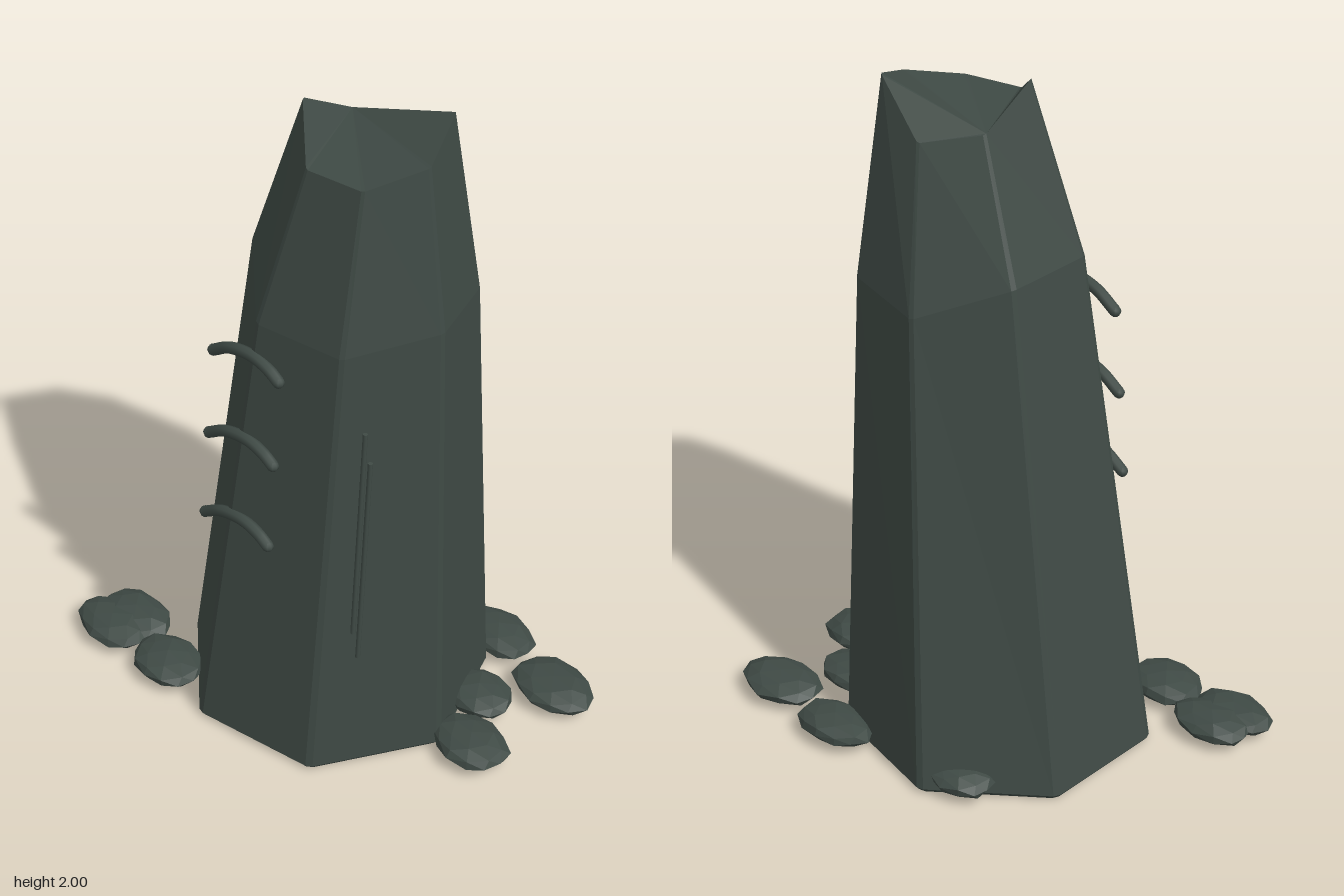
import * as THREE from 'three';

const stone = new THREE.MeshStandardMaterial({ color: 0x3f4a45 });
stone.name = 'darkStone';
const SIDES = 7;

// Seven-sided ring with softened corners: each corner becomes two close points.
function ring(cx, r, heights) {
  const corner = (i) => {
    const k = (i + SIDES) % SIDES;
    const a = (k / SIDES) * Math.PI * 2;
    return new THREE.Vector3(cx + r * Math.cos(a), heights[k], r * Math.sin(a));
  };
  const pts = [];
  for (let i = 0; i < SIDES; i++) {
    const c = corner(i);
    pts.push(c.clone().lerp(corner(i - 1), 0.03), c.clone().lerp(corner(i + 1), 0.03));
  }
  return pts;
}

// Tapering monolith with a broken, uneven top.
function buildMonolith() {
  const level = (y) => Array(SIDES).fill(y);
  const rings = [
    ring(0, 0.44, level(0)),
    ring(0, 0.453, level(0.015)),
    ring(0.105, 0.317, [1.46, 1.43, 1.43, 1.52, 1.52, 1.42, 1.43]),
    ring(0.155, 0.203, [1.94, 1.9, 1.9, 2.004, 1.9, 1.87, 2.004]),
  ];
  const n = SIDES * 2;
  const pos = [];
  const tri = (a, b, c) => [a, b, c].forEach((p) => pos.push(p.x, p.y, p.z));
  for (let r = 0; r < rings.length - 1; r++) {
    const lo = rings[r], hi = rings[r + 1];
    for (let i = 0; i < n; i++) {
      const j = (i + 1) % n;
      tri(lo[i], hi[i], hi[j]);
      tri(lo[i], hi[j], lo[j]);
    }
  }
  // Top fans out from the low back corner; the base is a flat fan.
  const top = rings[rings.length - 1], base = rings[0], s = 8;
  for (let k = 1; k < n - 1; k++) {
    const i = (s + k) % n, j = (s + k + 1) % n;
    tri(top[s], top[j], top[i]);
    tri(base[s], base[i], base[j]);
  }
  const geo = new THREE.BufferGeometry();
  geo.setAttribute('position', new THREE.Float32BufferAttribute(pos, 3));
  geo.computeVertexNormals();
  return geo;
}

// Flattened faceted pebble with slightly uneven corners.
function buildPebble(rx, ry, rz, seed) {
  const geo = new THREE.IcosahedronGeometry(1, 1);
  const p = geo.attributes.position;
  const v = new THREE.Vector3();
  for (let i = 0; i < p.count; i++) {
    v.fromBufferAttribute(p, i);
    const wobble = 1 + 0.05 * Math.sin(v.x * 5 + v.y * 3 + v.z * 7 + seed * 2.3);
    v.multiplyScalar(wobble);
    p.setXYZ(i, v.x * rx, v.y * ry, v.z * rz);
  }
  geo.computeVertexNormals();
  return geo;
}

export function createModel() {
  const group = new THREE.Group();
  const add = (name, geo, parent = group) => {
    const mesh = new THREE.Mesh(geo, stone);
    mesh.name = name;
    parent.add(mesh);
    return mesh;
  };

  add('monolith', buildMonolith());

  // Three raised arched ridges on the front
  const ridges = new THREE.Group();
  ridges.name = 'frontRidges';
  group.add(ridges);
  [[1.26, 0.318], [0.99, 0.342], [0.72, 0.365]].forEach(([y, z]) => {
    const path = new THREE.CatmullRomCurve3([
      new THREE.Vector3(-0.13, y, z + 0.005),
      new THREE.Vector3(-0.06, y + 0.045, z + 0.003),
      new THREE.Vector3(0.03, y + 0.065, z),
      new THREE.Vector3(0.09, y + 0.052, z - 0.003),
      new THREE.Vector3(0.125, y + 0.03, z - 0.006),
    ]);
    add('ridge', new THREE.TubeGeometry(path, 20, 0.017, 8), ridges);
    [0, 1].forEach((t) => {
      const end = add('ridgeEnd', new THREE.SphereGeometry(0.017, 8, 6), ridges);
      end.position.copy(path.getPoint(t));
    });
  });

  // Two slim rods along the front left face
  [
    [new THREE.Vector3(0.337, 0.5, 0.236), new THREE.Vector3(0.346, 1.19, 0.203)],
    [new THREE.Vector3(0.362, 0.43, 0.24), new THREE.Vector3(0.372, 1.11, 0.208)],
  ].forEach(([a, b]) => {
    const rod = add('sideRod', new THREE.CylinderGeometry(0.007, 0.007, a.distanceTo(b), 8));
    rod.position.copy(a).lerp(b, 0.5);
    rod.quaternion.setFromUnitVectors(new THREE.Vector3(0, 1, 0), b.clone().sub(a).normalize());
  });

  // Loose pebbles around the foot: x, z, half width, half depth
  [
    [0.26, -0.42, 0.13, 0.085],
    [0.53, -0.38, 0.135, 0.097],
    [0.41, -0.195, 0.11, 0.09],
    [0.54, -0.04, 0.123, 0.095],
    [-0.17, -0.345, 0.11, 0.08],
    [-0.3, 0.395, 0.122, 0.095],
    [-0.54, 0.415, 0.127, 0.085],
    [-0.52, 0.34, 0.13, 0.085],
  ].forEach(([x, z, rx, rz], i) => {
    const pebble = add('pebble', buildPebble(rx, 0.039, rz, i));
    pebble.position.set(x, 0.05, z);
  });

  return group;
}
